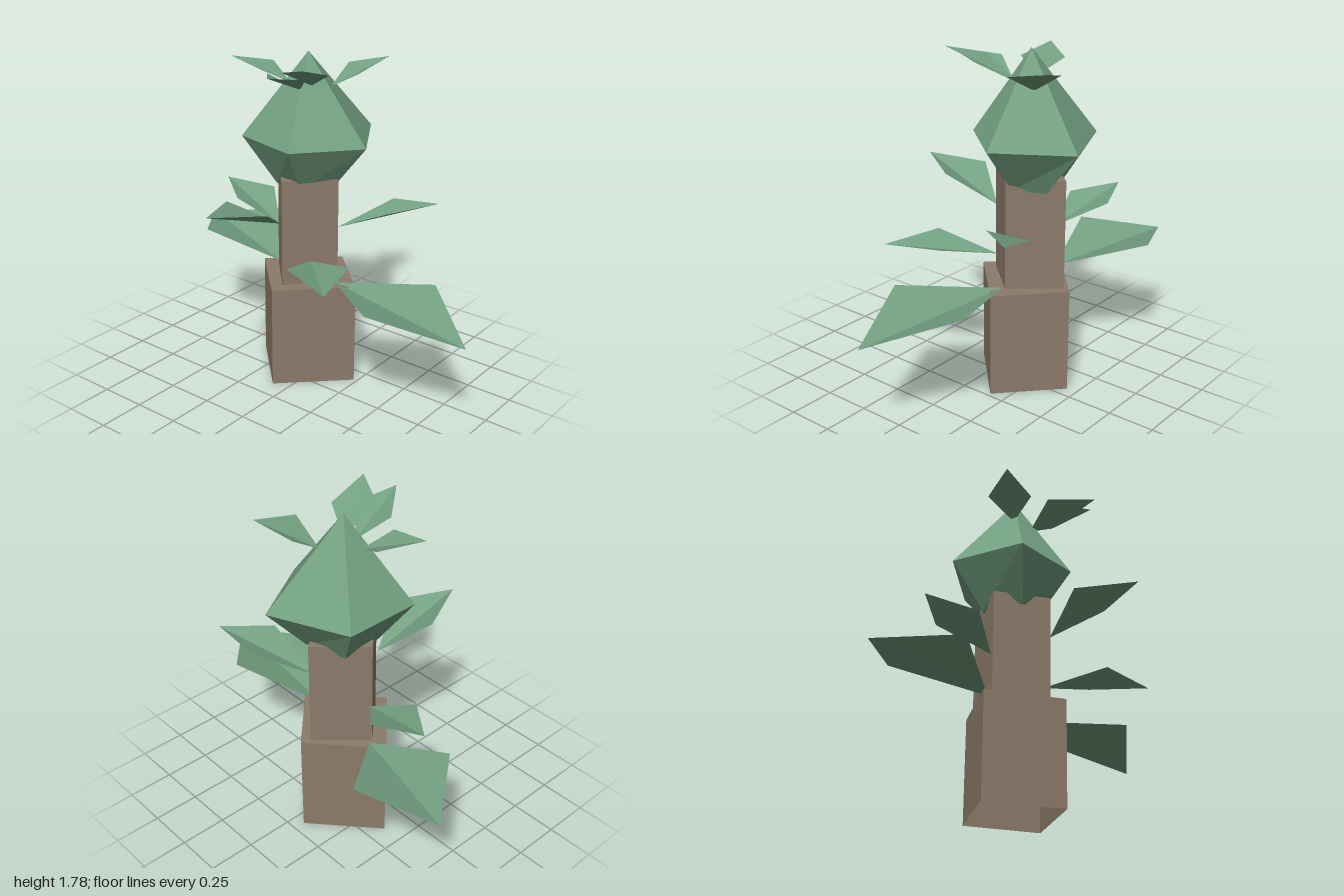
import * as THREE from 'three';

const GREEN = 0x73a082, BROWN = 0x8c7b6a;

function flatMesh(name, points, indices, color, side) {
  const indexed = new THREE.BufferGeometry();
  indexed.setAttribute('position', new THREE.Float32BufferAttribute(points.flat(), 3));
  indexed.setIndex(indices);
  const geometry = indexed.toNonIndexed();
  geometry.computeVertexNormals();
  const mesh = new THREE.Mesh(geometry, new THREE.MeshStandardMaterial({ color, side, flatShading: true }));
  mesh.name = name;
  return mesh;
}

// Four walls and a top over a set of corners, open underneath
function block(name, corners, y0, y1) {
  const points = [y0, y1].flatMap((y) => corners.map(([x, z]) => [x, y, z]));
  const indices = [4, 5, 6, 4, 6, 7];
  for (let i = 0; i < 4; i++) {
    const j = (i + 1) % 4;
    indices.push(i, j, i + 4, j, j + 4, i + 4);
  }
  return flatMesh(name, points, indices, BROWN, THREE.DoubleSide);
}

// Two triangles folded along the rib from base to tip
function leaf(name, base, tip, left, right) {
  return flatMesh(name, [base, tip, left, right], [0, 1, 2, 0, 3, 1], GREEN, THREE.DoubleSide);
}

// Five-sided bulb: small lower ring, wide middle ring, pointed top
function bulb() {
  const middle = [[0.27, -0.17], [0.01, 0.13], [-0.37, 0.04], [-0.37, -0.37], [0.04, -0.54]];
  const lower = [[0.07, -0.17], [-0.04, -0.03], [-0.205, -0.04], [-0.22, -0.27], [0.0, -0.33]];
  const points = [
    ...lower.map(([x, z]) => [x, 1.085, z]),
    ...middle.map(([x, z]) => [x, 1.33, z]),
    [-0.09, 1.78, -0.16], [-0.09, 1.085, -0.16],
  ];
  const indices = [];
  for (let i = 0; i < 5; i++) {
    const j = (i + 1) % 5;
    indices.push(i, i + 5, j, j, i + 5, j + 5); // lower sides
    indices.push(i + 5, 10, j + 5);             // upper sides
    indices.push(i, j, 11);                     // underside
  }
  return flatMesh('bulb', points, indices, GREEN, THREE.DoubleSide);
}

export function createModel() {
  const model = new THREE.Group();
  model.name = 'plant';

  // Trunk corners run front, left, back, right
  model.add(
    block('lowerTrunk', [[-0.09, 0.147], [0.23, -0.16], [-0.065, -0.44], [-0.39, -0.15]], 0, 0.56),
    block('upperTrunk', [[-0.09, 0.06], [0.11, -0.16], [-0.085, -0.39], [-0.295, -0.16]], 0.56, 1.14),
    bulb());

  // Each row: name, base, tip, left edge, right edge
  const leaves = [
    // trunk leaves
    ['largeLeftLeaf', [0.11, 0.56, -0.14], [1.0, 0.52, 0.005], [0.62, 0.63, -0.32], [0.54, 0.63, 0.205]],
    ['largeRightLeaf', [-0.3, 0.56, -0.18], [-1.0, 0.62, -0.4], [-0.73, 0.68, -0.05], [-0.6, 0.68, -0.57]],
    ['rightLeaf', [-0.295, 0.785, -0.17], [-0.76, 0.93, -0.27], [-0.54, 0.9, -0.1], [-0.5, 0.9, -0.37]],
    ['backLeftLeaf', [0.045, 0.83, -0.24], [0.52, 1.005, -0.48], [0.24, 0.97, -0.48], [0.36, 0.98, -0.24]],
    ['frontLeftLeaf', [0.02, 0.695, -0.04], [0.43, 0.77, 0.38], [0.35, 0.79, 0.07], [0.12, 0.79, 0.28]],
    ['frontLeaf', [-0.1, 0.91, 0.06], [-0.14, 1.09, 0.57], [0.025, 1.06, 0.31], [-0.27, 1.06, 0.28]],
    // crown leaves
    ['crownRightLeaf', [-0.17, 1.61, -0.12], [-0.47, 1.73, 0], [-0.24, 1.69, 0.02], [-0.34, 1.69, -0.185]],
    ['crownBackLeaf', [-0.01, 1.59, -0.24], [0.2, 1.74, -0.46], [-0.01, 1.69, -0.4], [0.18, 1.69, -0.22]],
    ['crownLeftLeaf', [-0.03, 1.62, -0.11], [0.15, 1.78, 0.19], [0.13, 1.71, -0.04], [-0.06, 1.72, 0.09]],
    ['crownFrontLeaf', [-0.07, 1.6, -0.07], [0.01, 1.74, 0.28], [0.07, 1.7, 0.07], [-0.16, 1.7, 0.08]],
  ];
  for (const row of leaves) model.add(leaf(...row));

  return model;
}
